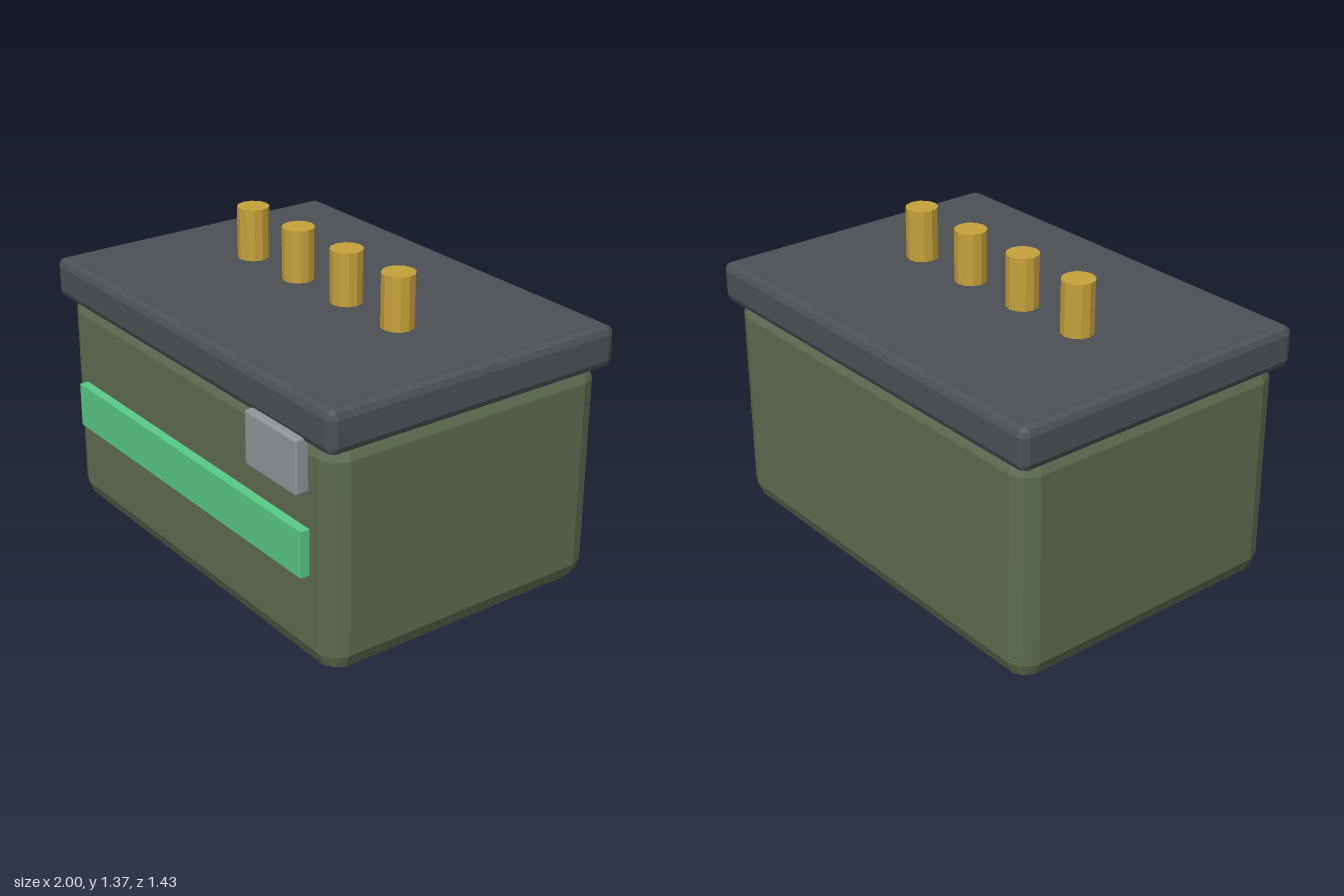
import * as THREE from 'three';
import { ConvexGeometry } from 'three/addons/geometries/ConvexGeometry.js';

const paint = (name, color) => {
  const m = new THREE.MeshStandardMaterial({ color });
  m.name = name;
  return m;
};

// Box given by its corners, with two-step bevelled edges of radius r
function bevelBox([x0, y0, z0], [x1, y1, z1], r) {
  const half = new THREE.Vector3(x1 - x0, y1 - y0, z1 - z0).multiplyScalar(0.5);
  const points = [];
  for (const sx of [-1, 1]) for (const sy of [-1, 1]) for (const sz of [-1, 1]) {
    for (let i = 1; i < 8; i++) {
      const d = new THREE.Vector3(i & 1, (i >> 1) & 1, (i >> 2) & 1).normalize().multiplyScalar(r);
      const p = half.clone().subScalar(r).add(d);
      points.push(p.multiply(new THREE.Vector3(sx, sy, sz)));
    }
  }
  return new ConvexGeometry(points).translate((x0 + x1) / 2, (y0 + y1) / 2, (z0 + z1) / 2);
}

export function createModel() {
  const group = new THREE.Group();
  const olive = paint('olive case', 0x5f6c52);
  const slate = paint('dark slate', 0x4d5156);
  const green = paint('bright green', 0x58cc85);
  const brass = paint('brass', 0xc6a339);
  const steel = paint('steel grey', 0x92969b);

  const add = (name, geometry, material) => {
    const mesh = new THREE.Mesh(geometry, material);
    mesh.name = name;
    group.add(mesh);
    return mesh;
  };

  // Case and overhanging lid
  add('case', bevelBox([-0.967, 0, -0.682], [0.967, 0.995, 0.652], 0.085), olive);
  add('lid', bevelBox([-1, 0.963, -0.714], [1, 1.142, 0.685], 0.034), slate);

  // Front latch and indicator strip
  add('latch', bevelBox([0.5, 0.755, 0.652], [0.83, 0.985, 0.716], 0.009), steel);
  const strip = new THREE.BoxGeometry(1.66, 0.197, 0.041);
  add('indicatorStrip', strip.translate(0, 0.503, 0.6745), green);

  // Row of terminal posts
  const post = new THREE.CylinderGeometry(0.07, 0.07, 0.25, 12).toNonIndexed();
  post.computeVertexNormals();
  for (let i = 0; i < 4; i++) {
    add('terminal' + (i + 1), post, brass).position.set(-0.5 + i / 3, 1.245, -0.0145);
  }
  return group;
}
